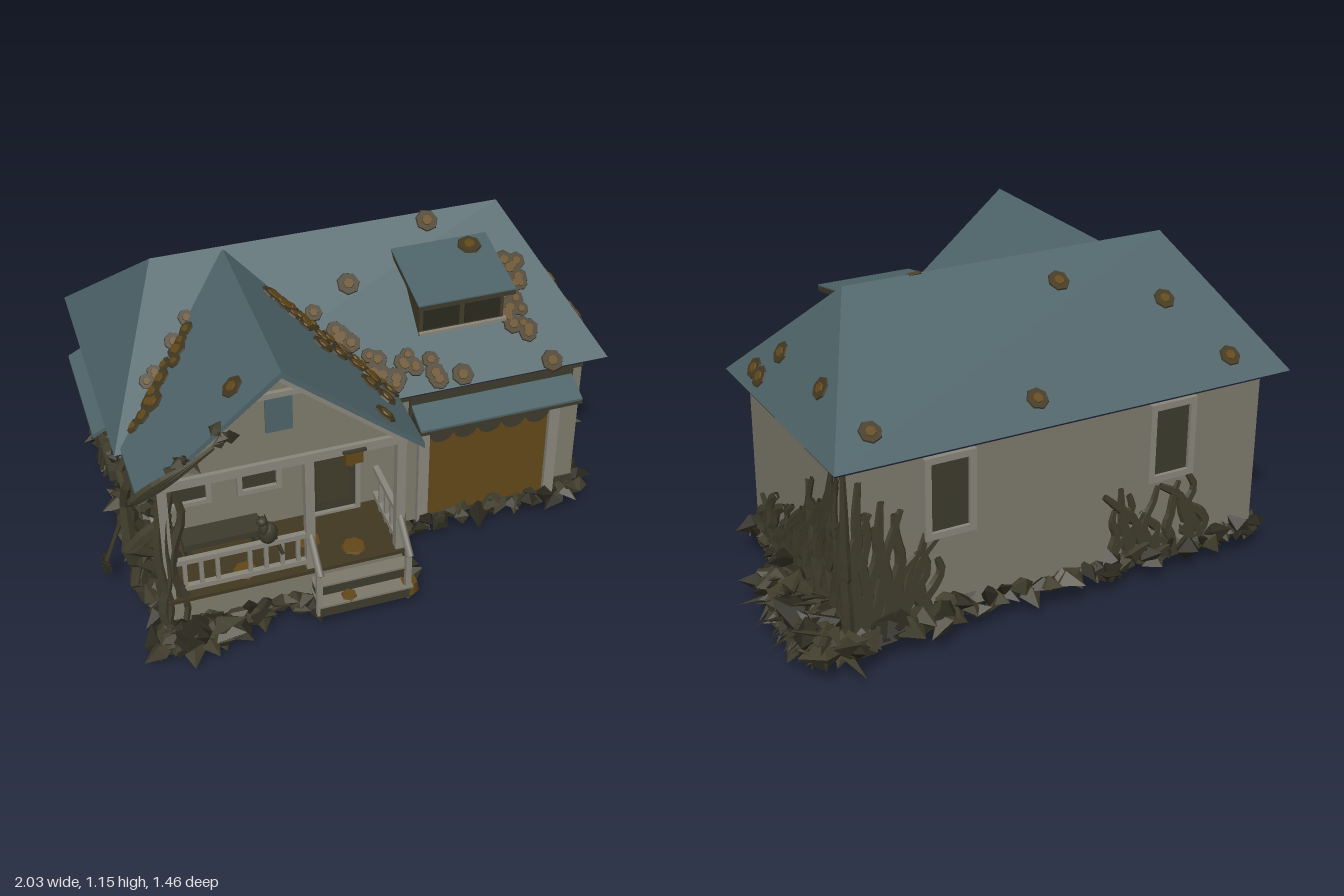
import * as THREE from 'three';
import { mergeGeometries } from 'three/addons/utils/BufferGeometryUtils.js';

const V = (x, y, z) => new THREE.Vector3(x, y, z);
const material = (name, color, both) => {
  const m = new THREE.MeshStandardMaterial({ color });
  m.name = name;
  if (both) m.side = THREE.DoubleSide;
  return m;
};

export function createModel() {
  const house = new THREE.Group();
  house.name = 'overgrownHouse';
  const slate = material('slateBlue', 0x4e6469, true);
  const soffitMat = material('soffitNavy', 0x1e2032);
  const plaster = material('plaster', 0x7d796b, true);
  const trim = material('paleTrim', 0x89867b);
  const dark = material('darkOlive', 0x3d3b2c, true);
  const ivy = material('ivy', 0x403d2c, true);
  const shade = material('deepLeaves', 0x2b291e, true);
  const rust = material('rustBrown', 0x624819);
  const moss = material('mossRim', 0x423822);

  let seed = 7;
  const rnd = (a = 0, b = 1) => {
    seed = (seed * 16807) % 2147483647;
    return a + (b - a) * (seed / 2147483647);
  };
  const add = (name, geo, mat, parent = house) => {
    const m = new THREE.Mesh(geo, mat);
    m.name = name;
    parent.add(m);
    return m;
  };
  const box = (name, mat, x0, x1, y0, y1, z0, z1, parent = house) =>
    add(name, new THREE.BoxGeometry(x1 - x0, y1 - y0, z1 - z0)
      .translate((x0 + x1) / 2, (y0 + y1) / 2, (z0 + z1) / 2), mat, parent);
  const rod = (name, mat, a, b, r, sides = 4) => {
    const m = add(name, new THREE.CylinderGeometry(r, r, a.distanceTo(b), sides), mat);
    m.position.copy(a).lerp(b, 0.5);
    m.quaternion.setFromUnitVectors(V(0, 1, 0), b.clone().sub(a).normalize());
  };
  const flat = (geos) => {
    const g = mergeGeometries(geos.map((o) => (o.index ? o.toNonIndexed() : o)));
    g.computeVertexNormals();
    return g;
  };
  const extrude = (pts, depth) => new THREE.ExtrudeGeometry(
    new THREE.Shape(pts.map(([x, y]) => new THREE.Vector2(x, y))), { depth, bevelEnabled: false });
  // profile given as [z, y], swept from x0 to x1
  const sweepX = (pts, x0, x1) => extrude(pts, x1 - x0).rotateY(-Math.PI / 2).translate(x1, 0, 0);

  // Walls, open underneath, with dark damp bands
  box('frontWall', plaster, -0.85, 0.765, 0.1, 0.735, 0.28, 0.29);
  box('backWall', plaster, -0.85, 0.765, 0.1, 0.735, -0.535, -0.525);
  box('rightWall', plaster, 0.755, 0.765, 0.1, 0.735, -0.525, 0.28);
  box('leftWall', plaster, -0.85, -0.84, 0.1, 0.735, -0.525, 0.28);
  box('wallStain', dark, -0.06, 0.766, 0.665, 0.73, 0.288, 0.296);
  box('porchWallStain', dark, -0.84, -0.06, 0.7, 0.73, 0.288, 0.296);
  box('garageCornerStain', dark, 0.685, 0.766, 0.1, 0.16, 0.288, 0.296);

  // Hipped main roof
  const e = 0.738, t = 1.157;
  const corners = [-0.93, e, 0.36, 0.825, e, 0.36, 0.825, e, -0.6, -0.93, e, -0.6,
    -0.68, t, -0.115, 0.57, t, -0.115];
  const hip = new THREE.BufferGeometry();
  hip.setAttribute('position', new THREE.Float32BufferAttribute(corners, 3));
  hip.setIndex([0, 1, 5, 0, 5, 4, 1, 2, 5, 2, 3, 4, 2, 4, 5, 3, 0, 4]);
  add('mainRoof', flat([hip]), slate);
  box('soffit', soffitMat, -0.925, 0.82, 0.73, 0.736, -0.595, 0.355);

  // Porch gable
  const gx = -0.43;
  add('gableRoof', extrude([[-0.475, 0.752], [0, 1.152], [0.475, 0.752], [0.475, 0.73],
    [0, 1.128], [-0.475, 0.73]], 0.725).translate(gx, 0, -0.1), slate);
  add('gableWall', extrude([[-0.4, 0.77], [0.4, 0.77], [0, 1.105]], 0.02).translate(gx, 0, 0.55), plaster);
  for (const s of [-1, 1]) {
    const rake = (drop, thick) => [[s * 0.42, 0.776 - drop], [0, 1.128 - drop], [0, 1.128 - drop - thick],
      [s * 0.42, 0.776 - drop - thick]];
    add('gableShadowBoard', extrude(rake(0.002, 0.02), 0.01).translate(gx, 0, 0.572), dark);
    add('gableTrim', extrude(rake(0.02, 0.022), 0.012).translate(gx, 0, 0.572), trim);
  }
  box('gableCollarTrim', trim, gx - 0.1, gx + 0.1, 1.025, 1.045, 0.565, 0.585);
  box('gableVent', slate, gx - 0.045, gx + 0.045, 0.885, 1.02, 0.565, 0.576);
  box('porchBeam', trim, -0.86, 0.0, 0.735, 0.77, 0.53, 0.585);
  box('porchCeiling', soffitMat, -0.86, 0.0, 0.73, 0.736, 0.29, 0.56);

  // Porch deck, posts, railings and steps
  box('porchBase', plaster, -0.82, 0, 0.1, 0.225, 0.29, 0.56);
  box('porchFloor', moss, -0.83, 0.005, 0.225, 0.24, 0.29, 0.57);
  box('porchBench', dark, -0.74, -0.46, 0.31, 0.335, 0.33, 0.42);
  for (const x of [-0.73, -0.49]) box('benchLeg', dark, x, x + 0.02, 0.24, 0.31, 0.34, 0.41);
  for (const [x, z] of [[-0.3, 0.42], [-0.16, 0.5], [-0.55, 0.5]]) {
    add('floorMoss', new THREE.CylinderGeometry(0.04, 0.045, 0.008, 7).translate(x, 0.243, z), rust);
  }
  for (const [y, z] of [[0.15, 0.66], [0.2, 0.61]]) {
    box('step', dark, -0.33, 0.0, y - 0.05, y - 0.008, 0.56, z);
    box('tread', plaster, -0.335, 0.005, y - 0.008, y, 0.56, z + 0.003);
  }
  add('stepMoss', new THREE.CylinderGeometry(0.025, 0.03, 0.01, 6).translate(-0.22, 0.152, 0.635), rust);
  add('footMoss', new THREE.CylinderGeometry(0.03, 0.036, 0.04, 6).translate(0.0, 0.13, 0.63), rust);
  for (const x of [-0.82, -0.33, -0.01]) {
    box('porchPost', trim, x - 0.016, x + 0.016, 0.22, 0.74, 0.528, 0.56);
  }
  for (const y of [0.27, 0.39]) {
    box('frontRail', trim, -0.81, -0.34, y - 0.01, y + 0.01, 0.535, 0.555);
    for (const x of [-0.82, -0.01]) box('sideRail', trim, x - 0.01, x + 0.01, y - 0.01, y + 0.01, 0.29, 0.545);
  }
  for (const i of [0, 1, 2, 4, 5, 6, 7]) {
    const x = -0.765 + i * 0.056;
    box('baluster', trim, x - 0.007, x + 0.007, 0.27, 0.39, 0.538, 0.552);
  }
  for (const x of [-0.82, -0.01]) for (const z of [0.35, 0.41, 0.47]) {
    box('sideBaluster', trim, x - 0.007, x + 0.007, 0.24, 0.39, z - 0.007, z + 0.007);
  }
  for (const x of [-0.33, -0.01]) {
    rod('stairRail', trim, V(x, 0.395, 0.545), V(x, 0.295, 0.665), 0.013);
    box('stairPost', trim, x - 0.01, x + 0.01, 0.1, 0.31, 0.635, 0.655);
  }
  box('porchLamp', rust, -0.215, -0.155, 0.695, 0.745, 0.53, 0.59);
  box('lampCap', dark, -0.225, -0.145, 0.745, 0.755, 0.53, 0.595);

  // Windows and door set through the walls, built facing +z then turned
  const opening = (name, w, h, x, y, z, turn, f, mullion) => {
    const g = new THREE.Group();
    g.name = name;
    const a = w / 2, b = h / 2;
    box('pane', dark, -a, a, -b, b, -0.02, 0.004, g);
    for (const s of [-1, 1]) {
      box('frameSide', trim, s * a - f / 2, s * a + f / 2, -b - f / 2, b + f / 2, -0.03, 0.018, g);
      box('frameEnd', trim, -a, a, s * b - f / 2, s * b + f / 2, -0.03, 0.018, g);
    }
    if (mullion) box('mullion', trim, -0.005, 0.005, -b, b, -0.004, 0.01, g);
    g.position.set(x, y, z);
    g.rotation.y = turn;
    house.add(g);
  };
  opening('leftPorchWindow', 0.14, 0.27, -0.69, 0.555, 0.295, 0, 0.018);
  opening('rightPorchWindow', 0.14, 0.27, -0.44, 0.555, 0.295, 0, 0.018);
  opening('frontDoor', 0.185, 0.445, -0.175, 0.465, 0.295, 0, 0.016);
  box('doorPanel', ivy, -0.235, -0.115, 0.29, 0.65, 0.295, 0.303);
  box('doorKnob', rust, -0.115, -0.1, 0.44, 0.46, 0.3, 0.312);
  for (const x of [0.4, -0.47]) opening('backWindow', 0.165, 0.275, x, 0.55, -0.54, Math.PI, 0.024);
  opening('sideWindow', 0.36, 0.2, -0.855, 0.54, -0.13, -Math.PI / 2, 0.018, true);

  // Side awning and window box
  const awning = [[0.84, 0.705], [0.965, 0.64], [0.965, 0.625], [0.84, 0.69]];
  add('sideAwning', extrude(awning.map(([x, y]) => [-x, y]), 0.48).translate(0, 0, -0.37), slate);
  box('planter', dark, -0.92, -0.85, 0.38, 0.425, -0.32, 0.06);

  // Garage door with scalloped growth, frame and awning
  box('garageDoor', rust, 0.185, 0.645, 0.11, 0.56, 0.287, 0.295);
  box('garageThreshold', dark, 0.185, 0.645, 0.1, 0.118, 0.287, 0.3);
  for (const x of [0.145, 0.645]) box('garageJamb', trim, x, x + 0.04, 0.1, 0.6, 0.285, 0.312);
  box('garageLintel', trim, 0.145, 0.685, 0.545, 0.6, 0.285, 0.312);
  const drape = new THREE.Shape();
  drape.moveTo(0.185, 0.55).lineTo(0.185, 0.49);
  for (let i = 0; i < 5; i++) {
    const x = 0.185 + i * 0.092;
    drape.bezierCurveTo(x + 0.015, 0.445, x + 0.077, 0.445, x + 0.092, 0.49);
  }
  drape.lineTo(0.645, 0.55);
  add('garageDrape', new THREE.ExtrudeGeometry(drape, { depth: 0.006, bevelEnabled: false, curveSegments: 5 })
    .translate(0, 0, 0.296), dark);
  add('garageAwning', sweepX([[0.285, 0.658], [0.405, 0.612], [0.405, 0.6], [0.285, 0.645]], 0.115, 0.72), slate);
  box('awningBackboard', dark, 0.11, 0.725, 0.6, 0.695, 0.288, 0.305);
  box('awningEdge', dark, 0.115, 0.72, 0.592, 0.604, 0.39, 0.408);
  for (const x of [0.12, 0.69]) {
    add('awningBracket', sweepX([[0.285, 0.52], [0.31, 0.52], [0.385, 0.605], [0.285, 0.65]], x, x + 0.025), dark);
  }

  // Dormer
  add('dormerBody', sweepX([[0.21, 0.86], [0.21, 1.02], [-0.02, 1.065], [-0.02, 0.9]], 0.17, 0.48), ivy);
  add('dormerRoof', sweepX([[0.26, 1.008], [0.26, 1.026], [-0.03, 1.08], [-0.03, 1.062]], 0.148, 0.5), dark);
  add('dormerSlates', sweepX([[0.26, 1.026], [0.26, 1.031], [-0.03, 1.085], [-0.03, 1.08]], 0.148, 0.5), slate);
  box('dormerSill', trim, 0.17, 0.49, 0.875, 0.887, 0.205, 0.222);
  for (const x of [0.25, 0.4]) {
    box('dormerWindow', shade, x - 0.065, x + 0.065, 0.895, 1.0, 0.207, 0.215);
  }

  // Moss rosettes lying on the roof planes
  const roofY = (x, z) => {
    const main = Math.min(e + (0.36 - z) * 0.882, e + (z + 0.6) * 0.864,
      e + (0.825 - x) * 1.643, e + (x + 0.93) * 1.676);
    const gable = z > -0.1 && x < 0.045 ? 1.152 - Math.abs(x - gx) * 0.842 : 0;
    return Math.max(main, gable);
  };
  const rims = [], hearts = [];
  const rosette = (x, z, r, y) => {
    const h = 0.002;
    const n = y ? V(0, 1, 0.19) : V(roofY(x - h, z) - roofY(x + h, z), 2 * h, roofY(x, z - h) - roofY(x, z + h));
    const m = new THREE.Matrix4().compose(V(x, y || roofY(x, z), z),
      new THREE.Quaternion().setFromUnitVectors(V(0, 1, 0), n.normalize()), V(1, 1, 1));
    const spin = rnd(0, 3);
    rims.push(new THREE.CylinderGeometry(r * 0.88, r, 0.012, 7).rotateY(spin).applyMatrix4(m));
    hearts.push(new THREE.CylinderGeometry(r * 0.42, r * 0.6, 0.02, 6).rotateY(spin).applyMatrix4(m));
  };
  const spots = [[-0.72, -0.52], [-0.57, -0.32], [-0.2, -0.21], [0.06, -0.52], [0.66, -0.51], [0.3, -0.09],
    [0.73, -0.29], [0.73, 0.05], [0.29, 0.33], [0.62, 0.34], [-0.56, 0.51], [-0.07, 0.555], [-0.03, 0.04],
    [-0.02, 0.42], [0.785, 0.17], [0.79, 0.11], [-0.19, 0.26], [-0.06, 0.37]];
  for (const [x, z] of spots) rosette(x, z, 0.044);
  rosette(0.42, 0.02, 0.046, 1.078);
  const drift = (n, x0, z0, x1, z1, spread) => {
    for (let i = 0; i < n; i++) {
      const k = (i + 0.5) / n;
      rosette(x0 + (x1 - x0) * k + rnd(-spread, spread), z0 + (z1 - z0) * k + rnd(-spread, spread), rnd(0.028, 0.044));
    }
  };
  drift(46, -0.31, 0.025, 0.0, 0.325, 0.04);
  drift(16, -0.02, 0.27, 0.19, 0.29, 0.045);
  drift(20, 0.54, 0.04, 0.54, 0.24, 0.045);
  drift(18, -0.6, 0.06, -0.85, 0.31, 0.03);
  add('mossRims', flat(rims), moss);
  add('mossHearts', flat(hearts), rust);

  // Tapered climbing stems, pressed flat against their wall by the squash vector
  const stems = [];
  const vine = (pts, r, squash) => {
    const c = new THREE.CatmullRomCurve3(pts), n = 12, g = new THREE.TubeGeometry(c, n, r, 5);
    const p = g.attributes.position, v = V(0, 0, 0);
    for (let i = 0; i < p.count; i++) {
      const k = Math.floor(i / 6) / n, o = c.getPointAt(k);
      v.fromBufferAttribute(p, i).sub(o).multiplyScalar(1 - 0.55 * k * k).multiply(squash).add(o);
      p.setXYZ(i, v.x, v.y, v.z);
    }
    stems.push(g);
  };
  const climb = (at, a, top, lean, r, squash) => {
    const pts = [];
    for (let i = 0; i <= 5; i++) {
      const k = i / 5;
      pts.push(at(a + lean * k * k + rnd(-0.028, 0.028), 0.08 + (top - 0.08) * k));
    }
    vine(pts, r, squash);
  };
  const thinX = V(0.55, 1, 1), thinZ = V(1, 1, 0.55), round = V(1, 1, 1);
  const onRight = (a, y) => V(0.773, y, Math.max(a, -0.54));
  const onBack = (a, y) => V(Math.min(a, 0.78), y, -0.543);
  const onLeft = (a, y) => V(-0.855, y, a);
  for (let i = 0; i < 38; i++) {
    const top = Math.min(0.74, 0.28 + i * 0.0165) * rnd(0.65, 1.05);
    climb(onRight, 0.25 - i * 0.0215, Math.min(top, 0.72), -rnd(0.04, 0.2), rnd(0.024, 0.034), thinX);
  }
  for (let i = 0; i < 14; i++) climb(onBack, 0.77 - i * 0.022, rnd(0.5, 0.72) - i * 0.022, rnd(-0.1, 0.06), 0.028, thinZ);
  for (let i = 0; i < 13; i++) climb(onBack, -0.22 - i * 0.034, rnd(0.24, 0.46), rnd(-0.15, 0.15), 0.026, thinZ);
  for (let i = 0; i < 6; i++) climb(onLeft, 0.27 - i * 0.03, rnd(0.4, 0.72), rnd(-0.06, 0.06), 0.024, thinX);
  // Tangle at the porch corner, wider at its foot, reaching up round the gable eave
  for (let i = 0; i < 7; i++) {
    const pts = [];
    for (let k = 0; k <= 6; k++) {
      const w = 0.1 - k * 0.008;
      pts.push(V(-0.82 - 0.01 * k + rnd(-w, w), 0.08 + k * 0.113, 0.33 + (i % 3) * 0.015 * k + rnd(-0.03, 0.04)));
    }
    vine(pts, 0.028, round);
  }
  for (let i = 0; i < 3; i++) {
    climb((a, y) => V(a, y, 0.545), -0.85 + i * 0.03, 0.72, 0.02, 0.024, round);
    vine([V(-0.87, 0.66, 0.5), V(-0.92, 0.74, 0.6), V(-0.86 + i * 0.02, 0.82, 0.64),
      V(-0.74 + i * 0.04, 0.88 + i * 0.025, 0.645)], 0.018, round);
  }
  add('climbingVines', flat(stems), ivy);

  // Angular leaf heaps at the foot of the walls
  const heaps = [[], []];
  const hedge = (n, x0, z0, x1, z1, size, y) => {
    for (let i = 0; i < n; i++) {
      const k = (i + 0.5) / n;
      const q = new THREE.Quaternion().setFromEuler(new THREE.Euler(rnd(-0.7, 0.7), rnd(0, 6.3), rnd(-0.7, 0.7)));
      const p = V(x0 + (x1 - x0) * k + rnd(-0.4, 0.4) * size, y + rnd(-0.02, 0.025), z0 + (z1 - z0) * k + rnd(-0.4, 0.4) * size);
      const s = V(size * rnd(0.8, 1.3), size * rnd(0.45, 0.75), size * rnd(0.5, 0.9));
      heaps[rnd() < 0.6 ? 0 : 1].push(new THREE.OctahedronGeometry(1, 0).applyMatrix4(new THREE.Matrix4().compose(p, q, s)));
    }
  };
  hedge(26, 0.04, 0.31, 0.78, 0.31, 0.05, 0.1);
  hedge(30, -0.88, 0.62, -0.62, 0.62, 0.07, 0.11);
  hedge(14, -0.62, 0.58, -0.38, 0.57, 0.055, 0.11);
  hedge(12, -0.42, 0.57, 0.03, 0.59, 0.045, 0.09);
  hedge(14, 0.01, 0.32, 0.01, 0.58, 0.05, 0.115);
  hedge(24, 0.77, 0.3, 0.79, -0.1, 0.055, 0.12);
  hedge(54, 0.83, -0.06, 0.88, -0.58, 0.1, 0.125);
  hedge(60, 0.8, -0.54, -0.85, -0.54, 0.062, 0.105);
  hedge(18, 0.85, -0.6, 0.35, -0.57, 0.075, 0.12);
  hedge(36, -0.855, -0.54, -0.855, 0.56, 0.055, 0.1);
  hedge(12, -0.88, -0.3, -0.88, 0.04, 0.035, 0.43);
  hedge(5, -0.89, 0.62, -0.9, 0.58, 0.04, 0.71);
  hedge(5, -0.8, 0.625, -0.72, 0.635, 0.035, 0.87);
  hedge(5, -0.66, 0.63, -0.61, 0.635, 0.03, 0.96);
  // Spiky blades in the big corner heap
  for (let i = 0; i < 110; i++) {
    const a = rnd(-0.6, 1.7), len = rnd(0.11, 0.18);
    const g = new THREE.ConeGeometry(0.022, len, 3).scale(1.3, 1, 0.6).translate(0, len / 2, 0)
      .rotateX(Math.PI / 2 + rnd(-0.5, 0.5));
    g.rotateY(Math.PI - a).translate(0.81 + rnd(0, 0.05), 0.1 + rnd(-0.02, 0.08), -0.55 + rnd(-0.03, 0.42));
    heaps[i % 2].push(g);
  }
  add('leafHeaps', flat(heaps[0]), ivy);
  add('shadedLeafHeaps', flat(heaps[1]), shade);
  for (let i = 0; i < 6; i++) {
    rod('planterTrailer', ivy, V(-0.915, 0.43, -0.28 + i * 0.06), V(-0.93, 0.33 + (i % 3) * 0.02, -0.29 + i * 0.06), 0.008);
  }

  // Rake leaning on the side wall
  rod('rakeHandle', dark, V(-0.985, 0.13, 0.2), V(-0.855, 0.48, 0.2), 0.008, 6);
  box('rakeHead', shade, -0.99, -0.975, 0.13, 0.145, 0.165, 0.235);
  for (let i = 0; i < 4; i++) box('rakeTooth', shade, -1, -0.97, 0.115, 0.13, 0.166 + i * 0.02, 0.174 + i * 0.02);

  // Cat sitting on the railing
  const blob = (name, x, y, z, sx, sy, sz) => add(name, new THREE.SphereGeometry(1, 10, 8).scale(sx, sy, sz).translate(x, y, z), dark);
  blob('catBody', -0.475, 0.435, 0.545, 0.034, 0.045, 0.028);
  blob('catChest', -0.49, 0.465, 0.55, 0.018, 0.035, 0.02);
  blob('catHead', -0.497, 0.5, 0.555, 0.019, 0.017, 0.018);
  for (const s of [-1, 1]) add('catEar', new THREE.ConeGeometry(0.007, 0.022, 4).translate(-0.497 + s * 0.01, 0.52, 0.555), dark);
  rod('catTail', dark, V(-0.45, 0.41, 0.54), V(-0.43, 0.34, 0.56), 0.007, 5);
  return house;
}
